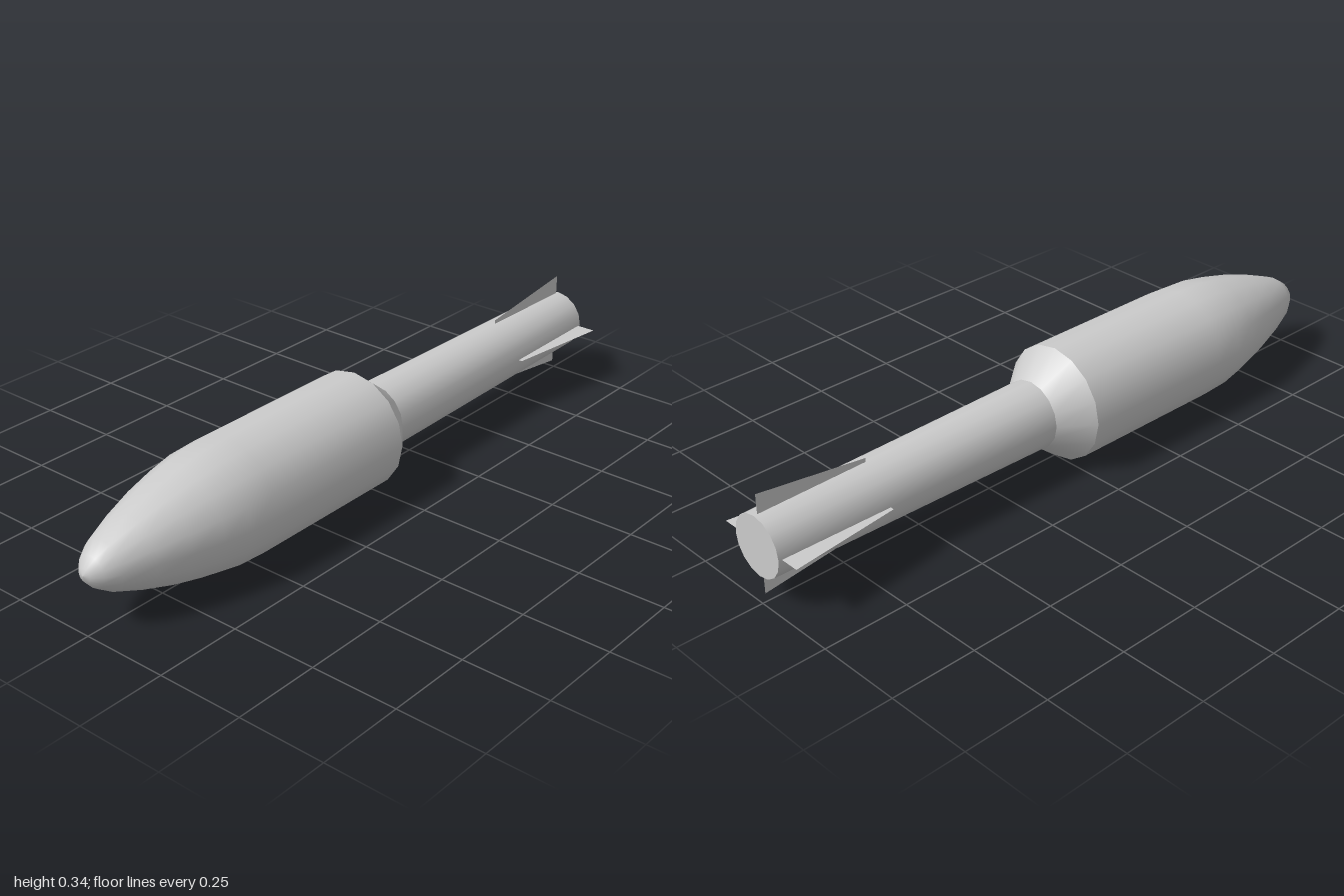
import * as THREE from 'three';

const SIDES = 16;
const AXIS_Y = 0.171;

export function createModel() {
  const model = new THREE.Group();
  const material = new THREE.MeshStandardMaterial({ color: 0xcccccc });
  const finMaterial = new THREE.MeshStandardMaterial({ color: 0xcccccc, side: THREE.DoubleSide });

  // Revolved section along z; points are [radius, z] from back to front
  function addSection(name, points) {
    const geometry = new THREE.LatheGeometry(points.map(([r, z]) => new THREE.Vector2(r, z)), SIDES);
    geometry.rotateX(Math.PI / 2);
    const mesh = new THREE.Mesh(geometry, material);
    mesh.name = name;
    mesh.position.y = AXIS_Y;
    model.add(mesh);
  }

  // Separate sections keep the edges between them sharp
  addSection('tailCap', [[0, -1], [0.088, -1]]);
  addSection('tailTube', [[0.088, -1], [0.1, -0.09]]);
  addSection('shoulder', [[0.1, -0.09], [0.17, 0]]);
  addSection('bodyAndNose', [
    [0.17, 0], [0.17, 0.5], [0.166, 0.59], [0.152, 0.67], [0.131, 0.76],
    [0.103, 0.85], [0.07, 0.935], [0.045, 0.973], [0.02, 0.995], [0, 1],
  ]);

  // Four thin tail fins; shape x is the radius, shape y runs along z
  const finShape = new THREE.Shape([
    new THREE.Vector2(0.08, -0.99),
    new THREE.Vector2(0.145, -0.99),
    new THREE.Vector2(0.104, -0.66),
    new THREE.Vector2(0.08, -0.66),
  ]);
  const finGeometry = new THREE.ShapeGeometry(finShape).rotateX(Math.PI / 2);
  const fins = new THREE.Group();
  fins.name = 'tailFins';
  fins.position.y = AXIS_Y;
  for (let i = 0; i < 4; i++) {
    const fin = new THREE.Mesh(finGeometry, finMaterial);
    fin.name = 'tailFin' + (i + 1);
    fin.rotation.z = (i * Math.PI) / 2;
    fins.add(fin);
  }
  model.add(fins);

  return model;
}
